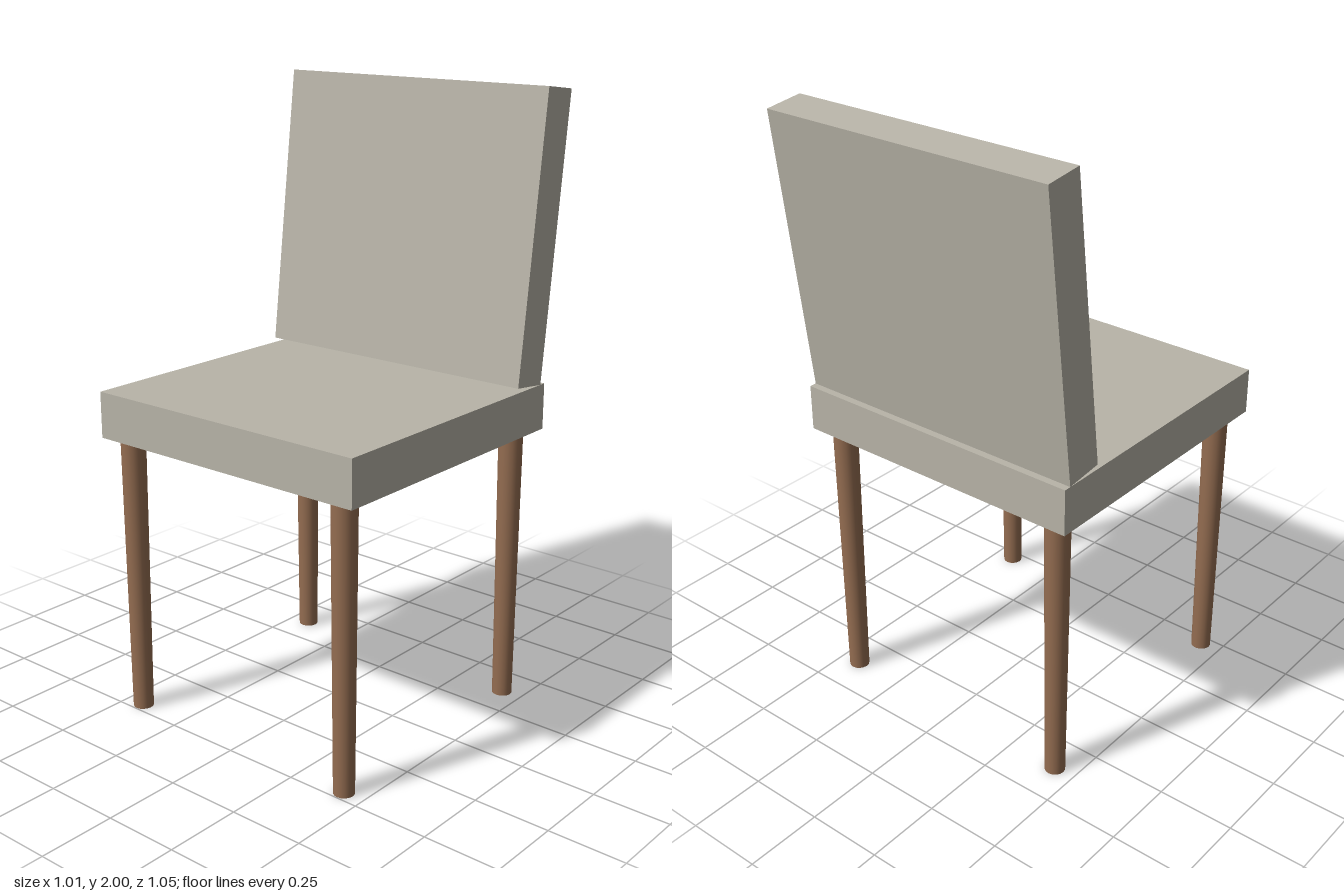
import * as THREE from 'three';

export function createModel() {
  const chair = new THREE.Group();
  chair.name = 'chair';
  const fabric = new THREE.MeshStandardMaterial({ name: 'greyFabric', color: 0xb8b4a8 });
  const wood = new THREE.MeshStandardMaterial({ name: 'brownWood', color: 0x946d51 });

  const add = (name, geometry, material, x, y, z) => {
    const mesh = new THREE.Mesh(geometry, material);
    mesh.name = name;
    mesh.position.set(x, y, z);
    chair.add(mesh);
    return mesh;
  };

  // Seat slab
  add('seat', new THREE.BoxGeometry(1.006, 0.15, 0.962), fabric, 0, 1, 0.044);

  // Backrest, leaning backwards
  const backrest = add('backrest', new THREE.BoxGeometry(1.006, 0.916, 0.128), fabric, 0, 1.5375, -0.405);
  backrest.rotation.x = -0.12;

  // Four round legs, tapering towards the floor
  const legHeight = 0.925;
  const legGeometry = new THREE.CylinderGeometry(0.04, 0.033, legHeight, 16);
  for (const [end, z] of [['front', 0.464], ['back', -0.37]]) {
    for (const [side, x] of [['Left', 0.428], ['Right', -0.428]]) {
      add(`${end}${side}Leg`, legGeometry, wood, x, legHeight / 2, z);
    }
  }

  return chair;
}
